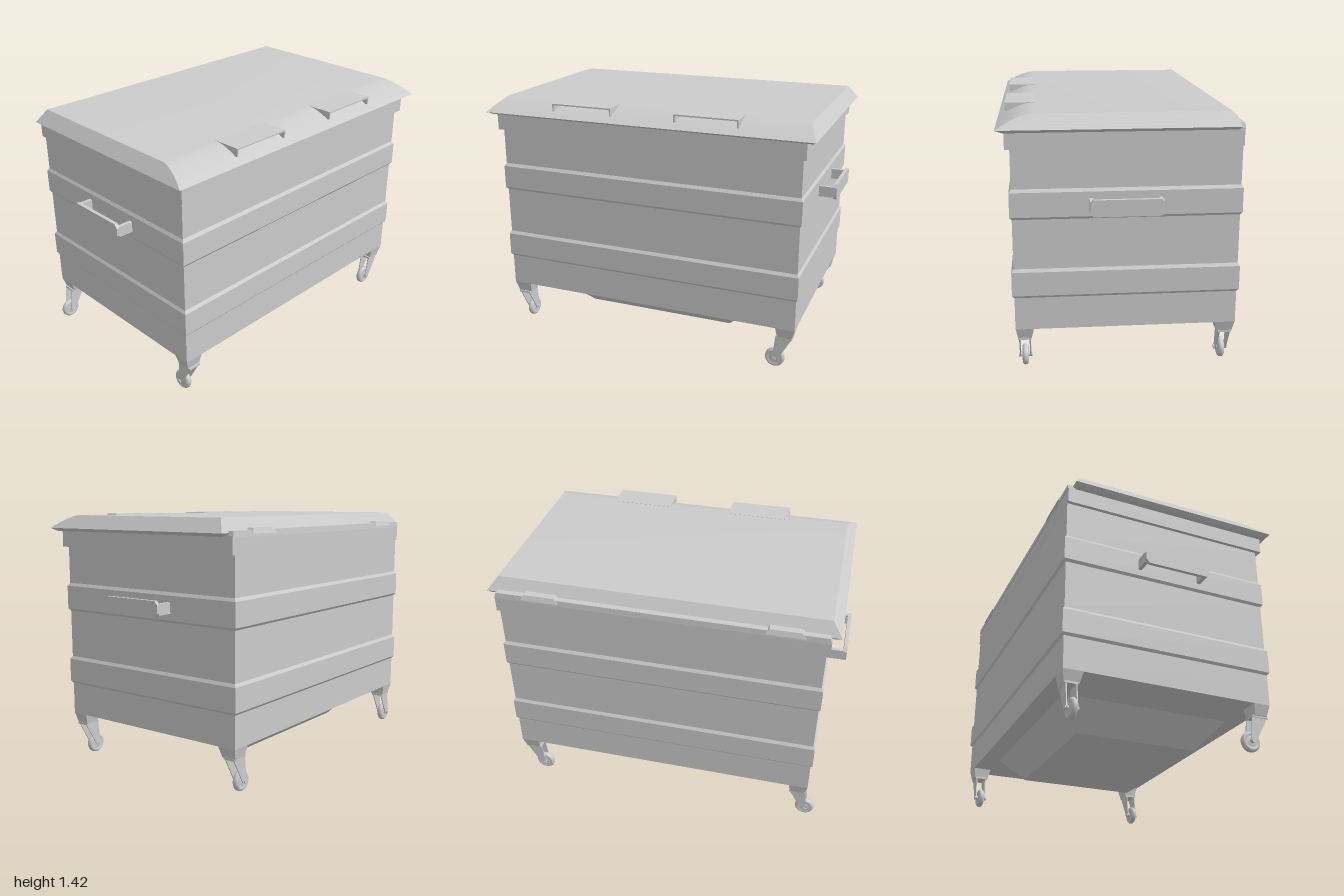
import * as THREE from 'three';
import { toCreasedNormals } from 'three/addons/utils/BufferGeometryUtils.js';

const material = new THREE.MeshStandardMaterial({ color: 0xcccccc, side: THREE.DoubleSide });

function add(parent, name, geometry, x = 0, y = 0, z = 0) {
  const mesh = new THREE.Mesh(geometry, material);
  mesh.name = name;
  mesh.position.set(x, y, z);
  parent.add(mesh);
  return mesh;
}

// Closed solid through rectangular rings [y, xMin, xMax, zMin, zMax], bottom to top
function loft(rings) {
  const points = [];
  const index = [];
  for (const [y, x0, x1, z0, z1] of rings) {
    points.push(x0, y, z1, x1, y, z1, x1, y, z0, x0, y, z0);
  }
  for (let r = 0; r < rings.length - 1; r++) {
    for (let i = 0; i < 4; i++) {
      const a = r * 4 + i, b = r * 4 + (i + 1) % 4;
      index.push(a, b, b + 4, a, b + 4, a + 4);
    }
  }
  const t = (rings.length - 1) * 4;
  index.push(0, 2, 1, 0, 3, 2, t, t + 1, t + 2, t, t + 2, t + 3);
  const geometry = new THREE.BufferGeometry();
  geometry.setAttribute('position', new THREE.Float32BufferAttribute(points, 3));
  geometry.setIndex(index);
  return toCreasedNormals(geometry, 0.45);
}

// Flat outline extruded symmetrically about z = 0
function plate(points, depth) {
  const shape = new THREE.Shape(points.map(([x, y]) => new THREE.Vector2(x, y)));
  return new THREE.ExtrudeGeometry(shape, { depth, bevelEnabled: false }).translate(0, 0, -depth / 2);
}

// Ribbed container with a projecting rim
function makeBody() {
  const wall = (y) => [y, -0.89, 0.89, -0.62, 0.567];
  const rib = (y) => [y, -0.9, 0.9, -0.631, 0.579];
  const rim = (y) => [y, -0.91, 0.91, -0.621, 0.592];
  const rings = [wall(0.26)];
  for (const y of [0.44, 0.87]) {
    rings.push(wall(y), rib(y + 0.014), rib(y + 0.145), wall(y + 0.162));
  }
  rings.push(wall(1.24), rim(1.24), rim(1.335));
  return loft(rings);
}

// Lid with undercut edge, sloping sides and a curved front
function makeLid() {
  const rings = [[1.33, -0.935, 0.94, -0.58, 0.595]];
  const steps = 8;
  for (let i = 0; i <= steps; i++) {
    const t = i / steps;
    const rise = 1 - Math.pow(1 - t, 1.6);
    rings.push([
      1.347 + 0.073 * rise,
      -0.957 + 0.055 * rise, 0.962 - 0.055 * rise,
      -0.595 + 0.045 * rise, 0.635 - 0.185 * t,
    ]);
  }
  return loft(rings);
}

// Flat pull plate with triangular cheeks over the curved lid front
function makeLidHandle(x) {
  const group = new THREE.Group();
  group.name = 'lidHandle';
  add(group, 'pullPlate', new THREE.BoxGeometry(0.36, 0.008, 0.16), x, 1.417, 0.518);
  for (const side of [-1, 1]) {
    const cheek = plate([[-0.44, 1.421], [-0.597, 1.421], [-0.597, 1.377], [-0.56, 1.375]], 0.008);
    cheek.rotateY(Math.PI / 2);
    add(group, 'cheek', cheek, x + side * 0.176);
  }
  return group;
}

// Chamfered grab bar on two arms
function makeSideHandle(side) {
  const group = new THREE.Group();
  group.name = 'sideHandle';
  const bar = plate([
    [-0.17, 0.93], [-0.155, 0.908], [0.19, 0.908], [0.208, 0.93],
    [0.208, 0.975], [0.19, 0.996], [-0.155, 0.996], [-0.17, 0.975],
  ], 0.02);
  bar.rotateY(Math.PI / 2);
  add(group, 'grabBar', bar, side * 0.99);
  for (const z of [0.16, -0.198]) {
    add(group, 'arm', new THREE.BoxGeometry(0.1, 0.06, 0.02), side * 0.935, 0.95, z);
  }
  return group;
}

// Swivel caster: origin under the swivel, wheel trailing along +x
function makeCaster() {
  const group = new THREE.Group();
  group.name = 'caster';
  add(group, 'topPlate', new THREE.BoxGeometry(0.095, 0.012, 0.072), 0.003, 0.197, 0);
  for (const side of [-1, 1]) {
    add(group, 'forkPlate', plate([
      [-0.045, 0.2], [0.037, 0.052], [0.055, 0.045], [0.07, 0.056], [0.06, 0.11], [0.05, 0.2],
    ], 0.006), 0, 0, side * 0.028);
  }
  // Tyre with rounded tread and a recessed hub
  const profile = [
    [0.008, -0.016], [0.026, -0.016], [0.032, -0.011], [0.038, -0.017], [0.048, -0.016],
    [0.055, -0.009], [0.057, 0], [0.055, 0.009], [0.048, 0.016], [0.038, 0.017],
    [0.032, 0.011], [0.026, 0.016], [0.008, 0.016],
  ].map(([r, y]) => new THREE.Vector2(r, y));
  add(group, 'wheel', new THREE.LatheGeometry(profile, 28).rotateX(Math.PI / 2), 0.055, 0.057, 0);
  add(group, 'axle', new THREE.CylinderGeometry(0.012, 0.012, 0.074, 14).rotateX(Math.PI / 2), 0.055, 0.057, 0);
  return group;
}

export function createModel() {
  const model = new THREE.Group();
  model.name = 'wheeledContainer';

  add(model, 'body', makeBody());
  add(model, 'sump', loft([
    [0.11, -0.46, 0.445, -0.375, 0.335],
    [0.262, -0.6, 0.58, -0.51, 0.47],
  ]));

  add(model, 'lid', makeLid());
  model.add(makeLidHandle(-0.36), makeLidHandle(0.37));

  // Hinge rail along the back with two clips
  add(model, 'hingeRail', loft([
    [1.325, -0.91, 0.91, -0.625, -0.56],
    [1.358, -0.9, 0.9, -0.622, -0.56],
  ]));
  for (const x of [-0.675, 0.65]) {
    add(model, 'hingeClip', loft([
      [1.34, x - 0.105, x + 0.105, -0.632, -0.57],
      [1.368, x - 0.085, x + 0.085, -0.622, -0.57],
    ]));
  }

  model.add(makeSideHandle(1), makeSideHandle(-1));

  // Tapered corner feet, each carrying a caster turned to its own angle
  const corners = [
    [1, 1, Math.PI], [-1, 1, Math.PI / 2], [1, -1, Math.PI], [-1, -1, Math.PI],
  ];
  for (const [sx, sz, turn] of corners) {
    const ring = (y, xa, xb, za, zb) => [
      y, Math.min(sx * xa, sx * xb), Math.max(sx * xa, sx * xb), Math.min(za, zb), Math.max(za, zb),
    ];
    const front = sz > 0;
    add(model, 'cornerFoot', loft([
      ring(0.2, 0.79, 0.872, front ? 0.482 : -0.525, front ? 0.555 : -0.608),
      ring(0.262, 0.78, 0.89, front ? 0.47 : -0.51, front ? 0.567 : -0.62),
    ]));
    const caster = makeCaster();
    caster.position.set(sx * 0.83, 0, front ? 0.52 : -0.57);
    caster.rotation.y = turn;
    model.add(caster);
  }
  return model;
}
